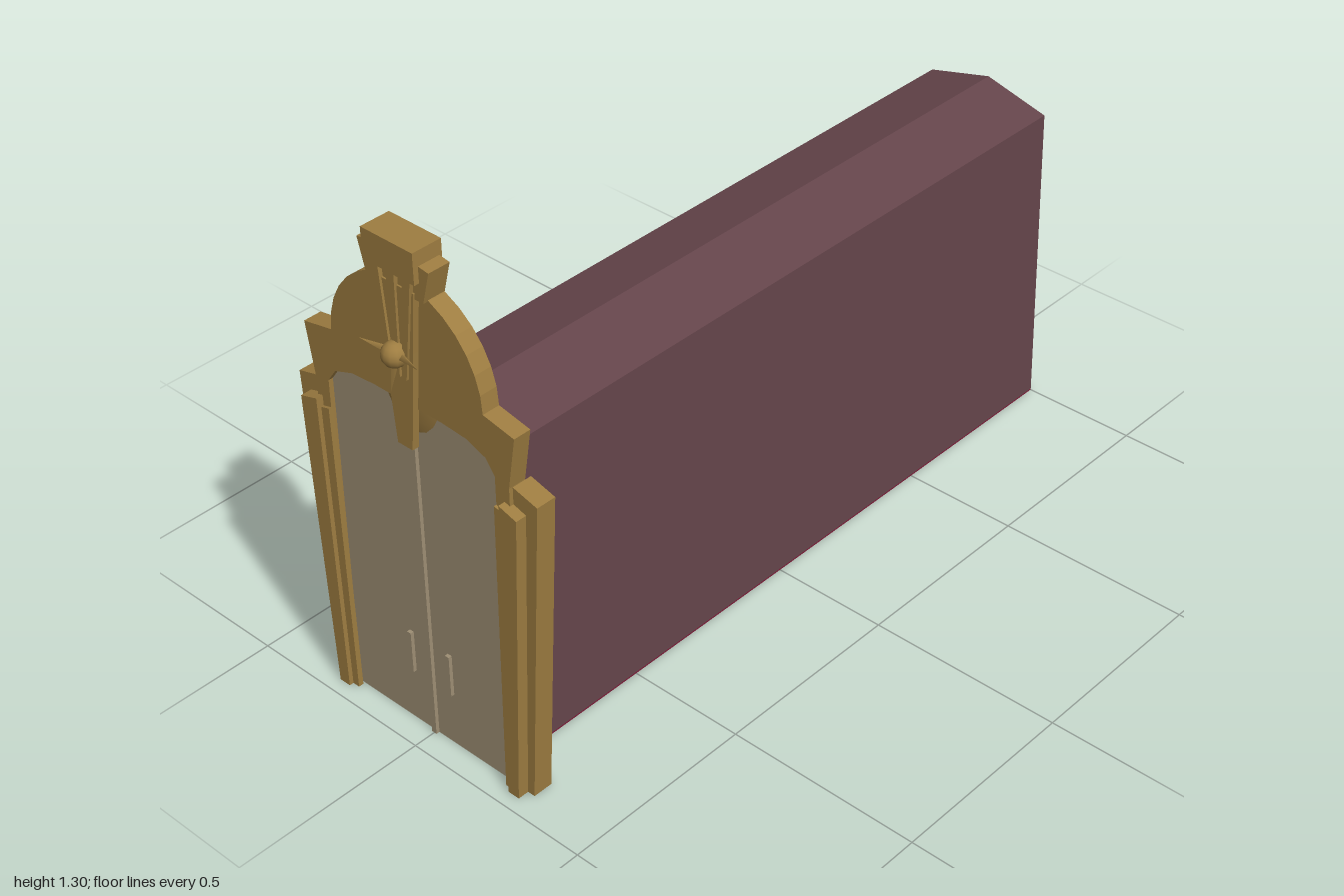
import * as THREE from 'three';

const material = (name, color) => {
  const m = new THREE.MeshStandardMaterial({ color });
  m.name = name;
  return m;
};

export function createModel() {
  const group = new THREE.Group();
  const gold = material('gold', 0x9e7d41);
  const stone = material('doorStone', 0x9e8f74);
  const mauve = material('mauve', 0x65454b);
  const crimson = material('crimson', 0x7c1c38);
  const steel = material('darkSteel', 0x5a5654);

  const add = (name, geometry, mat) => {
    const mesh = new THREE.Mesh(geometry, mat);
    mesh.name = name;
    group.add(mesh);
    return mesh;
  };
  // outline points are [z, y]; half outlines are mirrored across z = 0
  const sym = (half) => [...half, ...half.filter((p) => p[0] !== 0).reverse().map(([z, y]) => [-z, y])];
  // a flat plate in the z-y plane between x0 and x1
  const plate = (name, pts, x0, x1, mat) => {
    const shape = new THREE.Shape(pts.map(([z, y]) => new THREE.Vector2(-z, y)));
    const g = new THREE.ExtrudeGeometry(shape, { depth: x1 - x0, bevelEnabled: false });
    g.rotateY(Math.PI / 2).translate(x0, 0, 0);
    return add(name, g, mat);
  };
  const box = (name, x, y, z, sx, sy, sz, mat) => {
    const mesh = add(name, new THREE.BoxGeometry(sx, sy, sz), mat);
    mesh.position.set(x, y, z);
    return mesh;
  };

  // long hall with a crimson underside
  const hall = [[0.197, 0.004], [0.175, 0.815], [0, 0.86]];
  plate('hall', sym(hall), -0.904, 1, mauve);
  box('hallUnderside', 0.048, 0.002, 0, 1.904, 0.004, 0.394, crimson);

  // sloping collar between the hall and the gate
  const outer = sym([[0.226, 0], [0.21, 0.865], [0, 0.937]]);
  const inner = sym(hall);
  const pos = [];
  for (let i = 0; i < outer.length - 1; i++) {
    const a = [-0.924, outer[i][1], outer[i][0]], b = [-0.924, outer[i + 1][1], outer[i + 1][0]];
    const c = [-0.897, inner[i + 1][1], inner[i + 1][0]], d = [-0.897, inner[i][1], inner[i][0]];
    pos.push(...a, ...d, ...c, ...a, ...c, ...b);
  }
  const collarGeometry = new THREE.BufferGeometry();
  collarGeometry.setAttribute('position', new THREE.Float32BufferAttribute(pos, 3));
  collarGeometry.computeVertexNormals();
  add('collar', collarGeometry, gold);

  // gate frame: stepped shoulders under a round arch
  const arch = [];
  for (let i = 0; i <= 8; i++) {
    const a = (i / 8) * Math.PI / 2;
    arch.push([i === 8 ? 0 : 0.225 * Math.cos(a), 0.98 + 0.225 * Math.sin(a)]);
  }
  const outline = [[0.285, 0], [0.29, 0.83], [0.312, 0.963], ...arch];
  const tallOpening = [[0.25, 0], [0.25, 0.85], [0.235, 0.885], [0.185, 0.905], [0.165, 0.94],
    [0.127, 1.07], [0.1, 1.08], [0.1, 1.12], [0.05, 1.14], [0, 1.145]];
  const doorOpening = [[0.25, 0], [0.25, 0.84], [0.225, 0.875], [0.17, 0.895], [0.1, 0.9], [0, 0.9]];
  // an open-footed frame follows the outline up and the opening back down
  const frame = (opening) => [...sym(outline), ...sym(opening).reverse()];
  plate('innerFrame', frame(tallOpening), -0.925, -0.901, gold);
  plate('outerFrame', frame(doorOpening), -0.946, -0.925, gold);

  // double door with centre ridge and handles
  plate('doors', sym([[0.256, 0], [0.256, 0.86], [0.19, 0.92], [0.13, 1.08], [0, 1.16]]), -0.934, -0.924, stone);
  box('doorRidge', -0.936, 0.42, 0, 0.014, 0.84, 0.014, stone);
  for (const s of [1, -1]) {
    box('doorHandle', -0.937, 0.2, s * 0.06, 0.012, 0.11, 0.012, stone);

    // tapered side pillars with a narrow moulding on the outer face
    plate('pillar', [[0.283, 0], [0.308, 0], [0.358, 0.81], [0.29, 0.828]].map(([z, y]) => [z * s, y]),
      -0.936, -0.885, gold);
    plate('pillarMoulding', [[0.257, 0], [0.288, 0], [0.325, 0.775], [0.275, 0.79]].map(([z, y]) => [z * s, y]),
      -0.964, -0.934, gold);
    plate('pillarRidge', [[0.238, 0], [0.26, 0], [0.285, 0.76], [0.25, 0.77]].map(([z, y]) => [z * s, y]),
      -0.953, -0.94, gold);
  }

  // rounded niche above the hall roof
  const niche = add('niche', new THREE.SphereGeometry(1, 20, 14), gold);
  niche.scale.set(0.02, 0.15, 0.1);
  niche.position.set(-0.924, 0.955, 0);

  // keystone with block cap and converging fins
  plate('keystone', sym([[0.083, 1.185], [0.104, 1.265], [0, 1.28]]), -0.957, -0.9, gold);
  plate('keystoneCap', sym([[0.075, 1.23], [0.075, 1.305], [0, 1.305]]), -0.97, -0.893, gold);
  for (const s of [-1, 0, 1]) {
    const z = s * 0.05;
    plate('keystoneFin', [[z - 0.012, 1.26], [z + 0.012, 1.26], [s * 0.02 + 0.007, 0.98], [s * 0.02 - 0.007, 0.98]],
      -0.967, -0.902, gold);
  }
  plate('pendant', sym([[0.022, 0.8], [0.045, 1.05], [0.06, 1.2], [0, 1.2]]), -0.961, -0.944, gold);
  plate('spike', sym([[0, 1.055], [0.014, 1.12], [0.012, 1.135]]), -0.903, -0.897, steel);

  // emblem: a ball with swept blades
  const ball = add('emblemBall', new THREE.SphereGeometry(0.03, 12, 8), gold);
  ball.position.set(-0.97, 1.035, 0);
  for (const angle of [-1.45, 1.45, Math.PI]) {
    const blade = new THREE.ConeGeometry(0.012, 0.08, 4);
    blade.translate(0, 0.05, 0).rotateZ(0.25).rotateX(angle);
    add('emblemBlade', blade, gold).position.set(-0.966, 1.035, 0);
  }
  return group;
}
